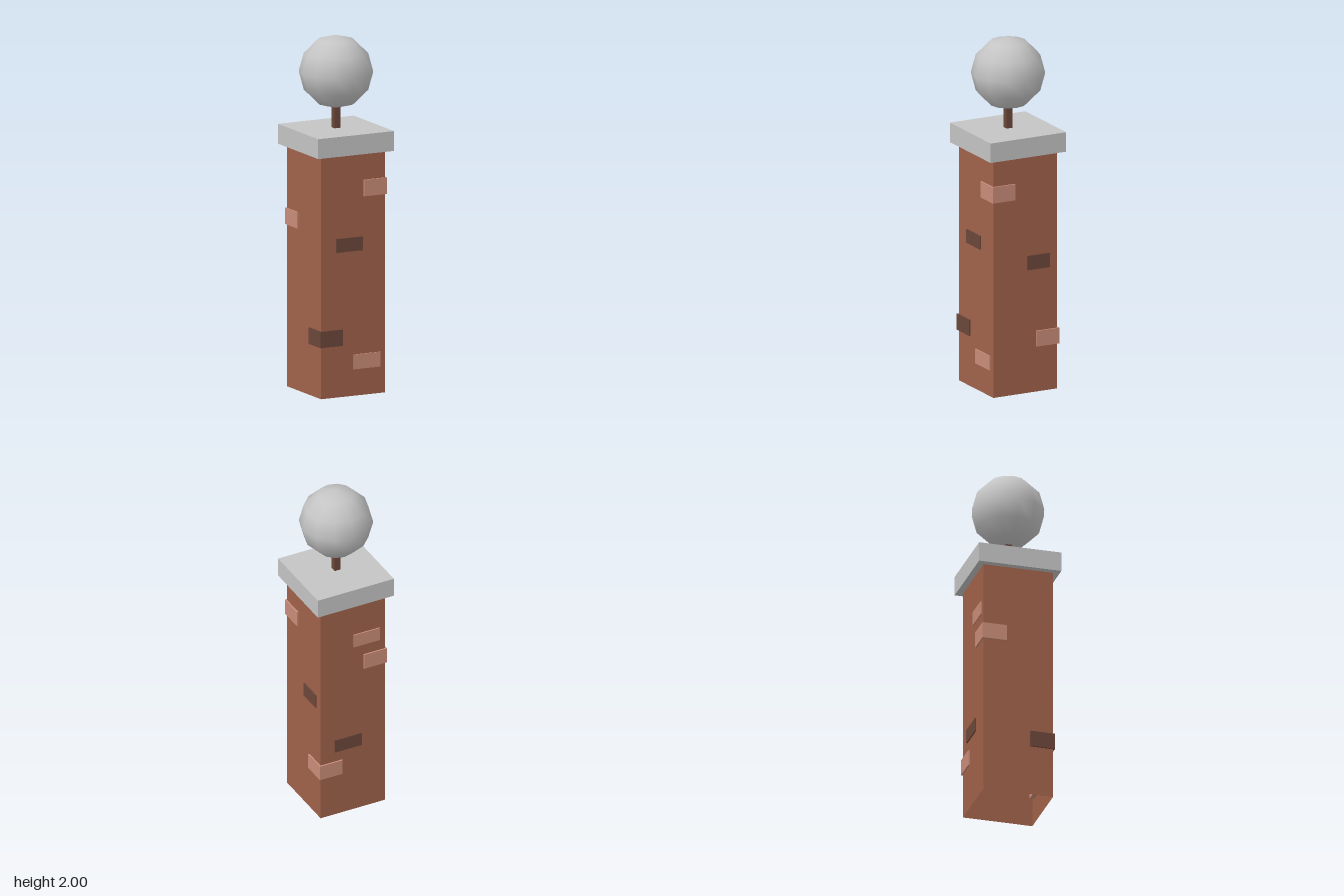
import * as THREE from 'three';

const mat = (name, color, extra = {}) => {
  const m = new THREE.MeshStandardMaterial({ color, ...extra });
  m.name = name;
  return m;
};

export function createModel() {
  const brick = mat('brick red', 0xa0624a, { side: THREE.DoubleSide });
  const light = mat('light brick', 0xc98c78);
  const dark = mat('dark brown', 0x6b473a);
  const stone = mat('pale grey', 0xc4c4c4);

  const model = new THREE.Group();
  model.name = 'lampPillar';

  const add = (name, geometry, material, x = 0, y = 0, z = 0) => {
    const mesh = new THREE.Mesh(geometry, material);
    mesh.name = name;
    mesh.position.set(x, y, z);
    model.add(mesh);
    return mesh;
  };
  // box from its lower and upper limits on each axis
  const block = (name, material, [x0, x1], [y0, y1], [z0, z1]) =>
    add(name, new THREE.BoxGeometry(x1 - x0, y1 - y0, z1 - z0), material,
      (x0 + x1) / 2, (y0 + y1) / 2, (z0 + z1) / 2);

  // hollow square shaft, open underneath
  const shaft = new THREE.CylinderGeometry(0.2 * Math.SQRT2, 0.2 * Math.SQRT2, 1.37, 4, 1, true)
    .rotateY(Math.PI / 4).toNonIndexed();
  shaft.computeVertexNormals();
  add('shaft', shaft, brick, 0, 0.685, 0);

  // cap slab, lamp stem and globe
  block('cap', stone, [-0.237, 0.237], [1.365, 1.477], [-0.237, 0.237]);
  block('lampStem', dark, [-0.018, 0.018], [1.47, 1.62], [-0.018, 0.018]);
  add('lampGlobe', new THREE.SphereGeometry(0.206, 12, 6), stone, 0, 1.794, 0);

  // raised bricks that wrap a corner
  const pos = [0.067, 0.209], neg = [-0.209, -0.067];
  block('cornerBrick', light, pos, [1.12, 1.213], pos);
  block('cornerBrick', dark, neg, [0.29, 0.382], pos);
  block('cornerBrick', light, pos, [0.26, 0.35], neg);
  block('cornerBrick', light, neg, [0.915, 1.007], neg);

  // raised bricks on single faces
  const front = [0.175, 0.207], back = [-0.207, -0.175];
  block('frontBrick', dark, [-0.106, 0.058], [0.817, 0.895], front);
  block('frontBrick', light, [0.002, 0.168], [0.15, 0.233], front);
  block('sideBrick', dark, front, [0.706, 0.788], [-0.153, -0.01]);
  block('backBrick', light, [-0.167, -0.005], [1.075, 1.155], back);
  block('backBrick', dark, [-0.053, 0.113], [0.413, 0.492], back);

  return model;
}
